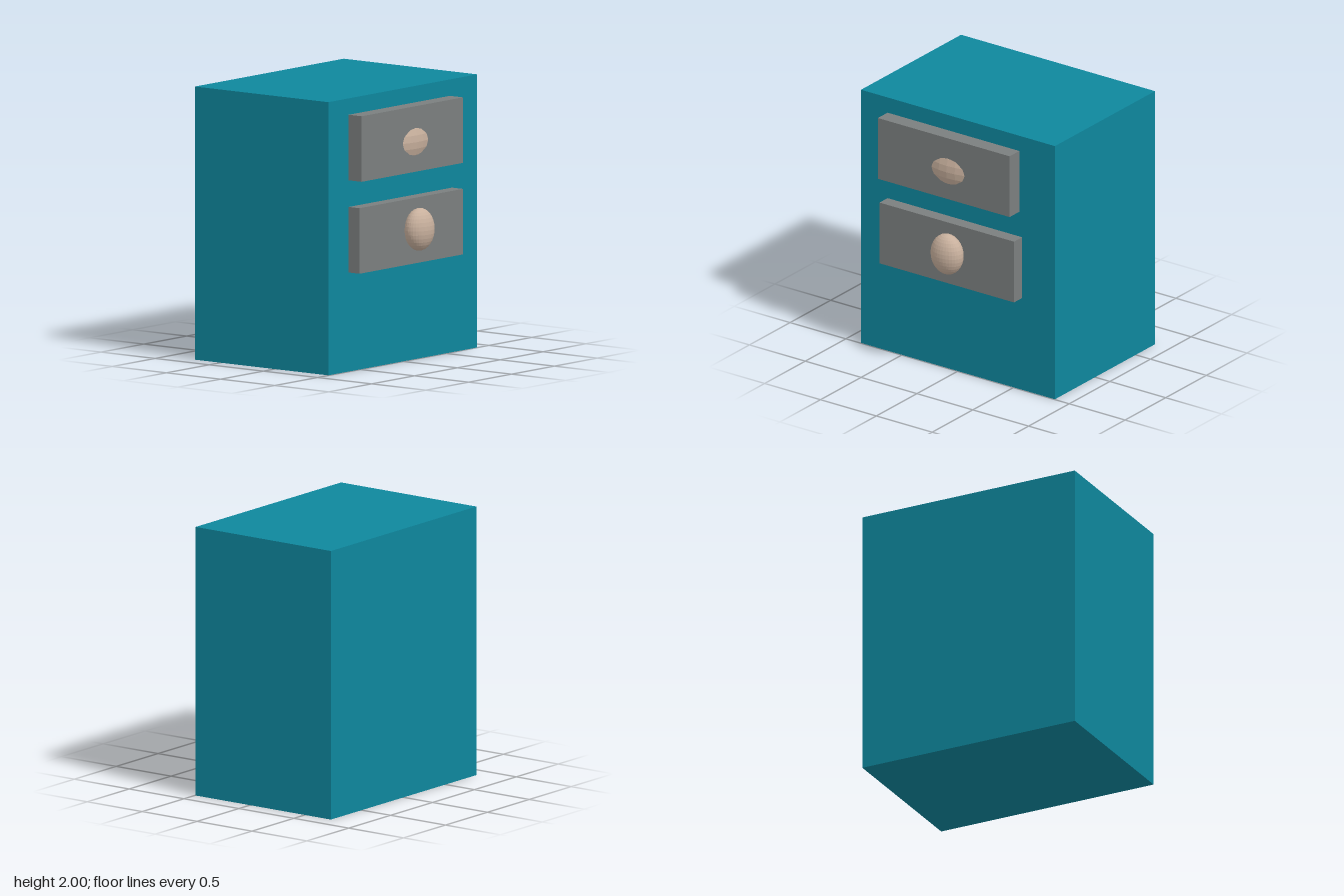
import * as THREE from 'three';

const paint = (color, flatShading = false) => new THREE.MeshStandardMaterial({ color, flatShading });

// Box given by its lower and upper corners
function box(name, min, max, material) {
  const size = max.map((v, i) => v - min[i]);
  const mesh = new THREE.Mesh(new THREE.BoxGeometry(...size), material);
  mesh.position.set(...min.map((v, i) => v + size[i] / 2));
  mesh.name = name;
  return mesh;
}

// Ellipsoidal knob given by its centre and radii
function knob(name, center, radii, material) {
  const geometry = new THREE.SphereGeometry(1, 32, 16).scale(...radii);
  const mesh = new THREE.Mesh(geometry, material);
  mesh.position.set(...center);
  mesh.name = name;
  return mesh;
}

export function createModel() {
  const group = new THREE.Group();
  group.name = 'nightstand';
  const teal = paint(0x0e879d);
  const grey = paint(0x7b7f7f);
  const beige = paint(0xc8b09d, true);

  // Solid cabinet
  group.add(box('cabinetBody', [-0.868, 0, -0.737], [0.868, 2, 0.495], teal));

  // Drawer fronts
  group.add(box('upperDrawer', [-0.63, 1.4, 0.45], [0.55, 1.88, 0.615], grey));
  group.add(box('lowerDrawer', [-0.63, 0.725, 0.45], [0.575, 1.205, 0.595], grey));

  // Knobs: the upper one is wide and deeply sunk into its drawer
  group.add(knob('upperKnob', [-0.002, 1.62, 0.377], [0.37, 0.25, 0.26], beige));
  group.add(knob('lowerKnob', [0.01, 0.98, 0.642], [0.132, 0.156, 0.095], beige));

  return group;
}
